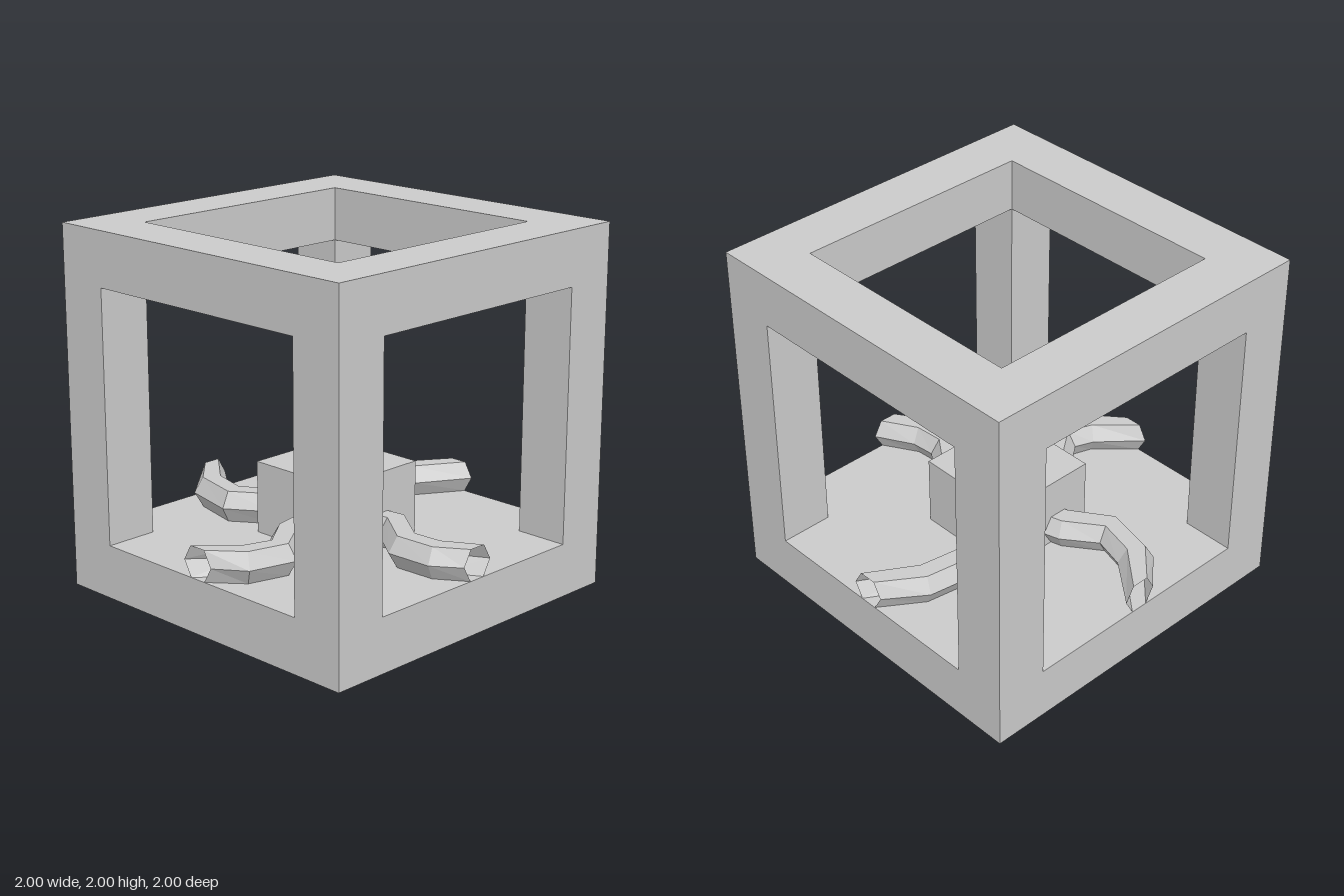
import * as THREE from 'three';

const material = new THREE.MeshStandardMaterial({ color: 0xcccccc, flatShading: true });
const openMaterial = new THREE.MeshStandardMaterial({ color: 0xcccccc, flatShading: true, side: THREE.DoubleSide });

function addBox(group, name, w, h, d, x, y, z) {
  const mesh = new THREE.Mesh(new THREE.BoxGeometry(w, h, d), material);
  mesh.name = name;
  mesh.position.set(x, y, z);
  group.add(mesh);
}

// Six-sided open pipe along ground points [x, z], lying on the floor
function pipeGeometry(points) {
  const sides = 6, radius = 0.1, centreY = 0.387;
  const positions = [], indices = [];
  const last = points.length - 1;
  const end = points[last];
  points.forEach((p, i) => {
    const before = points[Math.max(i - 1, 0)], after = points[Math.min(i + 1, last)];
    // the mouth is square to the frame, bends are halved between neighbours
    const dir = i === last
      ? new THREE.Vector2(end[0], end[1]).normalize()
      : new THREE.Vector2(after[0] - before[0], after[1] - before[1]).normalize();
    for (let s = 0; s < sides; s++) {
      const a = (s / sides) * Math.PI * 2;
      const across = Math.cos(a) * radius;
      positions.push(p[0] - dir.y * across, centreY + Math.sin(a) * radius, p[1] + dir.x * across);
      if (i < last) {
        const a0 = i * sides + s, a1 = i * sides + (s + 1) % sides;
        indices.push(a0, a1, a0 + sides, a1, a1 + sides, a0 + sides);
      }
    }
  });
  const geometry = new THREE.BufferGeometry();
  geometry.setAttribute('position', new THREE.Float32BufferAttribute(positions, 3));
  geometry.setIndex(indices);
  geometry.computeVertexNormals();
  return geometry;
}

export function createModel() {
  const model = new THREE.Group();
  model.name = 'framedPipeHub';

  // Solid floor and four corner posts
  addBox(model, 'floor', 2, 0.3, 2, 0, 0.15, 0);
  for (const x of [-0.85, 0.85]) {
    for (const z of [-0.85, 0.85]) addBox(model, 'cornerPost', 0.3, 1.4, 0.3, x, 1, z);
  }

  // Square ring on top
  const square = (h) => [[-h, -h], [h, -h], [h, h], [-h, h]].map(([x, y]) => new THREE.Vector2(x, y));
  const ring = new THREE.Shape(square(1));
  ring.holes.push(new THREE.Path(square(0.7).reverse()));
  const ringGeometry = new THREE.ExtrudeGeometry(ring, { depth: 0.3, bevelEnabled: false });
  ringGeometry.rotateX(-Math.PI / 2);
  const topRing = new THREE.Mesh(ringGeometry, material);
  topRing.name = 'topRing';
  topRing.position.y = 1.7;
  model.add(topRing);

  // Central block
  addBox(model, 'hubBlock', 0.6, 0.4, 0.6, 0, 0.5, 0);

  // Crooked pipes from the hub to the middle of each side
  const paths = {
    leftPipe: [[0, 0], [0.24, -0.105], [0.47, -0.205], [0.75, -0.16], [1, 0]],
    rightPipe: [[0, 0], [-0.2, 0.04], [-0.44, 0.085], [-0.645, 0.235], [-0.83, 0.18], [-1, 0]],
    frontPipe: [[0, 0], [0.02, 0.2], [0.05, 0.39], [-0.12, 0.62], [-0.11, 0.82], [0, 1]],
    backPipe: [[0, 0], [-0.06, -0.18], [-0.105, -0.34], [-0.25, -0.545], [-0.19, -0.79], [0, -1]],
  };
  for (const [name, points] of Object.entries(paths)) {
    const pipe = new THREE.Mesh(pipeGeometry(points), openMaterial);
    pipe.name = name;
    model.add(pipe);
  }
  return model;
}
